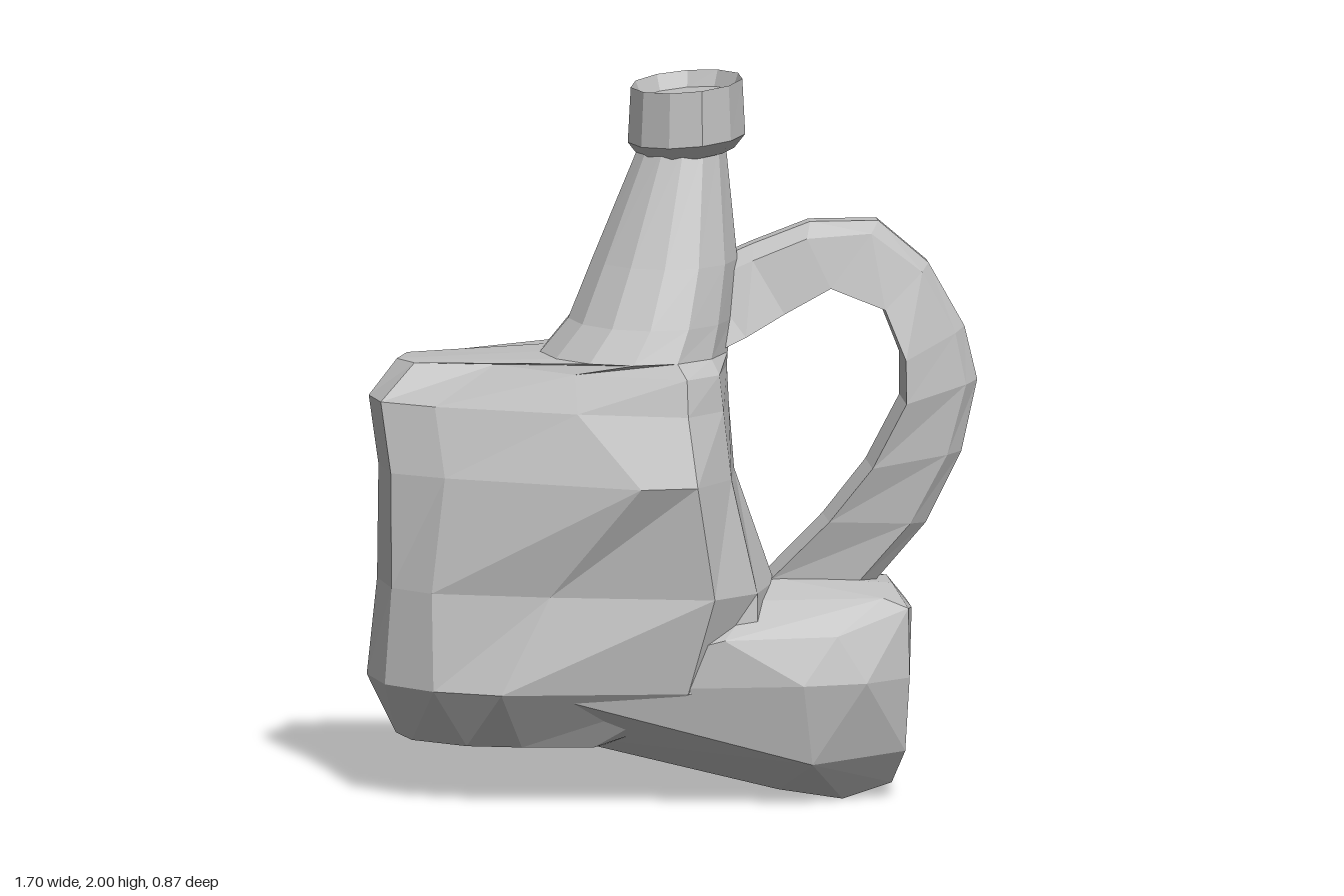
import * as THREE from 'three';
import { ConvexGeometry } from 'three/addons/geometries/ConvexGeometry.js';

const clay = new THREE.MeshStandardMaterial({ color: 0xc0c0c0, flatShading: true });
clay.name = 'grey clay';

const V = (p) => new THREE.Vector3(...p);

function part(name, geometry) {
  const mesh = new THREE.Mesh(geometry, clay);
  mesh.name = name;
  return mesh;
}

// Skin a series of equal-length rings and close both ends
function loft(rings) {
  const n = rings[0].length, last = rings.length - 1, index = [];
  for (let i = 0; i < last; i++) {
    for (let j = 0; j < n; j++) {
      const k = (j + 1) % n, a = i * n, b = a + n;
      index.push(a + j, a + k, b + k, a + j, b + k, b + j);
    }
  }
  for (let j = 1; j < n - 1; j++) {
    index.push(0, j + 1, j, last * n, last * n + j, last * n + j + 1);
  }
  const geometry = new THREE.BufferGeometry();
  geometry.setAttribute('position', new THREE.Float32BufferAttribute(rings.flat(2), 3));
  geometry.setIndex(index);
  const flat = geometry.toNonIndexed();
  flat.computeVertexNormals();
  return flat;
}

// Horizontal faceted oval filling the given x and z range; tilt lifts the +x side
function oval(y, x0, x1, z0, z1, sides, tilt = 0) {
  return Array.from({ length: sides }, (_, i) => {
    const a = ((i + 0.5) / sides) * Math.PI * 2;
    const c = Math.cos(a) * 1.03, s = Math.sin(a) * 1.03;
    return [(x0 + x1) / 2 + c * (x1 - x0) / 2, y + c * tilt, (z0 + z1) / 2 - s * (z1 - z0) / 2];
  });
}

// Horizontal ring from a height and x, z pairs
const ring = ([y, ...xz]) =>
  Array.from({ length: xz.length / 2 }, (_, i) => [xz[2 * i], y, xz[2 * i + 1]]);

export function createModel() {
  const group = new THREE.Group();
  group.name = 'jug';

  // Belly, shoulder and neck in one skin; each ring starts at the left side
  // and runs round the back, the right side and the front
  const belly = [
    [0.165, -0.15, -0.1, -0.2, -0.2, -0.25, -0.34, -0.4, -0.34, -0.6, -0.32, -0.74, -0.2,
      -0.77, -0.07, -0.74, 0.06, -0.6, 0.18, -0.45, 0.22, -0.25, 0.24, -0.18, 0.15, -0.15, 0.05],
    [0.33, 0.3, -0.1, 0.2, -0.3, 0, -0.42, -0.3, -0.44, -0.67, -0.41, -0.8, -0.3,
      -0.85, -0.08, -0.82, 0.1, -0.7, 0.24, -0.52, 0.33, 0, 0.36, 0.2, 0.33, 0.3, 0.1],
    [0.6, 0.27, -0.08, 0.2, -0.25, 0.05, -0.35, -0.38, -0.33, -0.64, -0.37, -0.78, -0.27,
      -0.82, -0.09, -0.8, 0.09, -0.7, 0.2, -0.38, 0.3, 0.07, 0.4, 0.2, 0.3, 0.27, 0.1],
  ];
  const shoulder = [
    [0.92, 0.16, -0.08, 0.12, -0.22, 0.02, -0.31, -0.4, -0.24, -0.63, -0.32, -0.77, -0.25,
      -0.815, -0.1, -0.8, 0.07, -0.66, 0.17, -0.14, 0.43, 0.02, 0.42, 0.13, 0.28, 0.16, 0.08],
    [1.11, 0.14, -0.08, 0.11, -0.19, 0, -0.25, -0.36, -0.2, -0.62, -0.29, -0.76, -0.25,
      -0.84, -0.12, -0.82, 0, -0.68, 0.1, -0.3, 0.27, 0, 0.36, 0.11, 0.26, 0.145, 0.08],
    [1.21, 0.14, -0.08, 0.11, -0.18, 0, -0.235, -0.35, -0.22, -0.6, -0.25, -0.72, -0.23,
      -0.76, -0.13, -0.72, -0.05, -0.5, 0, -0.3, 0.2, 0, 0.33, 0.1, 0.25, 0.14, 0.08],
  ];
  const neck = [
    [1.25, -0.37, 0.14, -0.235, 0.3], [1.34, -0.29, 0.155, -0.235, 0.26],
    [1.5, -0.22, 0.175, -0.235, 0.19], [1.82, -0.08, 0.15, -0.21, 0.06],
  ];
  group.add(part('bodyAndNeck', loft([
    ...belly.map(ring), ...shoulder.map(ring), ...neck.map((n) => oval(...n, 13)),
  ])));

  // Collar around the mouth, with a thin lip and shallow dish
  group.add(part('collar', loft([
    [1.79, 0.13, 0.145], [1.83, 0.16, 0.18], [1.985, 0.152, 0.174],
    [1.94, 0.135, 0.155],
  ].map(([y, rx, rz]) => oval(y, 0.045 - rx, 0.045 + rx, -0.075 - rz, -0.075 + rz, 11, 0.013)))));

  // Low foot reaching to the left
  group.add(part('foot', new ConvexGeometry([
    [-0.4, 0.2, 0.18], [-0.4, 0.2, -0.28], [-0.45, 0.34, 0.32], [-0.3, 0.34, -0.43],
    [0.27, 0.03, 0.2], [0.45, 0, 0.2], [0.45, 0.01, -0.03], [0.59, 0.04, 0.18],
    [0.59, 0.05, -0.03], [0.25, 0.09, -0.26], [0.53, 0.12, -0.25],
    [0.35, 0.12, 0.34], [0.62, 0.14, 0.25], [0.64, 0.14, -0.05],
    [0.32, 0.35, 0.39], [0.5, 0.35, 0.36], [0.63, 0.35, 0.27],
    [0.1, 0.3, -0.41], [0.42, 0.34, -0.35], [0.55, 0.33, -0.28], [0.62, 0.33, -0.2],
    [0.63, 0.54, 0.24], [0.6, 0.53, -0.2], [0.655, 0.52, 0.1], [0.655, 0.52, -0.03],
    [0.1, 0.48, 0.37], [0.42, 0.48, 0.34], [0.1, 0.49, -0.36], [0.42, 0.49, -0.31],
    [0.2, 0.57, 0.24], [0.56, 0.57, 0.24], [0.2, 0.58, -0.2], [0.56, 0.57, -0.19],
    [0.25, 0.615, 0.1], [0.6, 0.59, 0.1], [0.25, 0.615, -0.03], [0.6, 0.59, -0.03],
  ].map(V))));

  // Looped handle from neck to foot: outer x, y, inner x, y and inner front z
  const sections = [
    [0.08, 1.48, 0.08, 1.24, 0.12], [0.22, 1.54, 0.19, 1.29, 0.11], [0.38, 1.6, 0.3, 1.35, 0.09],
    [0.57, 1.6, 0.43, 1.42, 0.09], [0.71, 1.48, 0.58, 1.36, 0.11], [0.81, 1.3, 0.635, 1.22, 0.14],
    [0.845, 1.15, 0.635, 1.1, 0.15], [0.8, 0.95, 0.54, 0.92, 0.15], [0.7, 0.75, 0.42, 0.77, 0.14],
    [0.56, 0.59, 0.26, 0.61, 0.12], [0.5, 0.53, 0.22, 0.55, 0.12],
  ];
  group.add(part('handle', loft(sections.map(([ox, oy, ix, iy, iz], i) => {
    const at = (t, z) => [ox + (ix - ox) * t, oy + (iy - oy) * t, z];
    const drift = 0.04 * Math.min(1, i / 7);
    return [at(0, -0.035 + drift * 0.6), at(0, 0.01 + drift), at(0.17, 0.05 + drift),
      at(1, iz), at(1, -0.03)];
  }))));

  return group;
}
